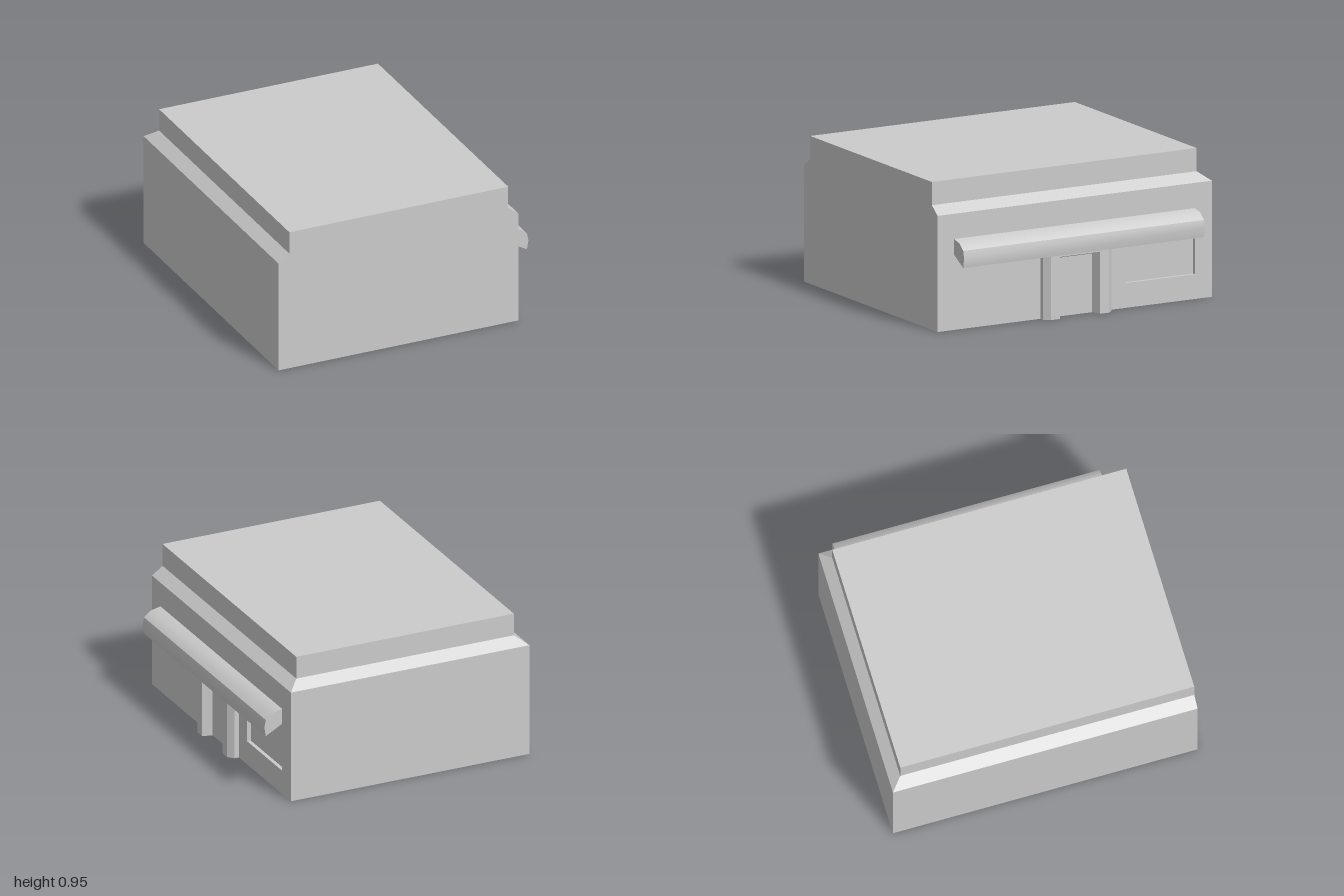
import * as THREE from 'three';
import { toCreasedNormals } from 'three/addons/utils/BufferGeometryUtils.js';

const material = new THREE.MeshStandardMaterial({ color: 0xcccccc });
const WALL = 0.77, LEFT = -0.9, EAVE = 0.75, RECESS = 0.025;

function part(name, geometry) {
  const mesh = new THREE.Mesh(geometry, material);
  mesh.name = name;
  return mesh;
}

function polygon(points) {
  return new THREE.Shape(points.map(([x, y]) => new THREE.Vector2(x, y)));
}

function extrude(shape, depth) {
  return new THREE.ExtrudeGeometry(shape, { depth, bevelEnabled: false });
}

// Closed solid through stacked rectangles [y, x0, x1, z0, z1].
function rectLoft(levels) {
  const rings = levels.map(([y, x0, x1, z0, z1]) =>
    [[x0, y, z1], [x1, y, z1], [x1, y, z0], [x0, y, z0]]);
  const pos = [];
  const quad = (a, b, c, d) => pos.push(...a, ...b, ...c, ...a, ...c, ...d);
  for (let i = 0; i < rings.length - 1; i++) {
    for (let k = 0; k < 4; k++) {
      const n = (k + 1) % 4;
      quad(rings[i][k], rings[i][n], rings[i + 1][n], rings[i + 1][k]);
    }
  }
  quad(...rings[rings.length - 1]);
  quad(...[...rings[0]].reverse());
  const geometry = new THREE.BufferGeometry();
  geometry.setAttribute('position', new THREE.Float32BufferAttribute(pos, 3));
  geometry.computeVertexNormals();
  return geometry;
}

export function createModel() {
  const model = new THREE.Group();
  model.name = 'shopBuilding';

  // Main block, stopping short of the shop wall
  const width = WALL - RECESS - LEFT;
  const block = new THREE.BoxGeometry(width, EAVE, 2);
  block.translate(LEFT + width / 2, EAVE / 2, 0);
  model.add(part('mainBlock', block));

  // Shop wall with the window cut through it (shape x runs towards -z)
  const wall = polygon([[-1, 0], [1, 0], [1, EAVE], [-1, EAVE]]);
  wall.holes.push(polygon([[0.37, 0.16], [0.37, 0.485], [0.875, 0.485], [0.875, 0.16]]));
  const wallGeometry = extrude(wall, RECESS);
  wallGeometry.rotateY(Math.PI / 2).translate(WALL - RECESS, 0, 0);
  model.add(part('shopWall', wallGeometry));

  // Sloped ledge and set-back parapet, flush at the front
  model.add(part('roof', rectLoft([
    [EAVE, LEFT, WALL, -1, 1],
    [0.805, -0.825, 0.698, -0.93, 1],
    [0.955, -0.825, 0.698, -0.93, 1],
  ])));

  // Rounded awning along the shop wall
  const awning = extrude(polygon([
    [WALL, 0.485], [0.885, 0.422], [0.895, 0.483],
    [0.885, 0.533], [0.837, 0.572], [WALL, 0.587],
  ]), 1.755);
  awning.translate(0, 0, -0.875);
  model.add(part('awning', toCreasedNormals(awning, Math.PI / 6)));

  // Door surround: mirrored jambs with chamfered outsides and splayed insides
  const door = new THREE.Group();
  door.name = 'doorSurround';
  for (const side of [1, -1]) {
    const jamb = extrude(polygon([
      [WALL, 0.25], [0.8, 0.25], [0.835, 0.213], [0.835, 0.147], [WALL, 0.127],
    ].map(([x, z]) => [x, -z * side])), 0.43);
    jamb.rotateX(-Math.PI / 2);
    door.add(part(side > 0 ? 'frontJamb' : 'backJamb', jamb));
  }
  const lintel = extrude(polygon([
    [WALL, 0.38], [0.835, 0.4], [0.835, 0.43], [WALL, 0.43],
  ]), 0.294);
  lintel.translate(0, 0, -0.147);
  door.add(part('lintel', lintel));
  model.add(door);

  return model;
}
